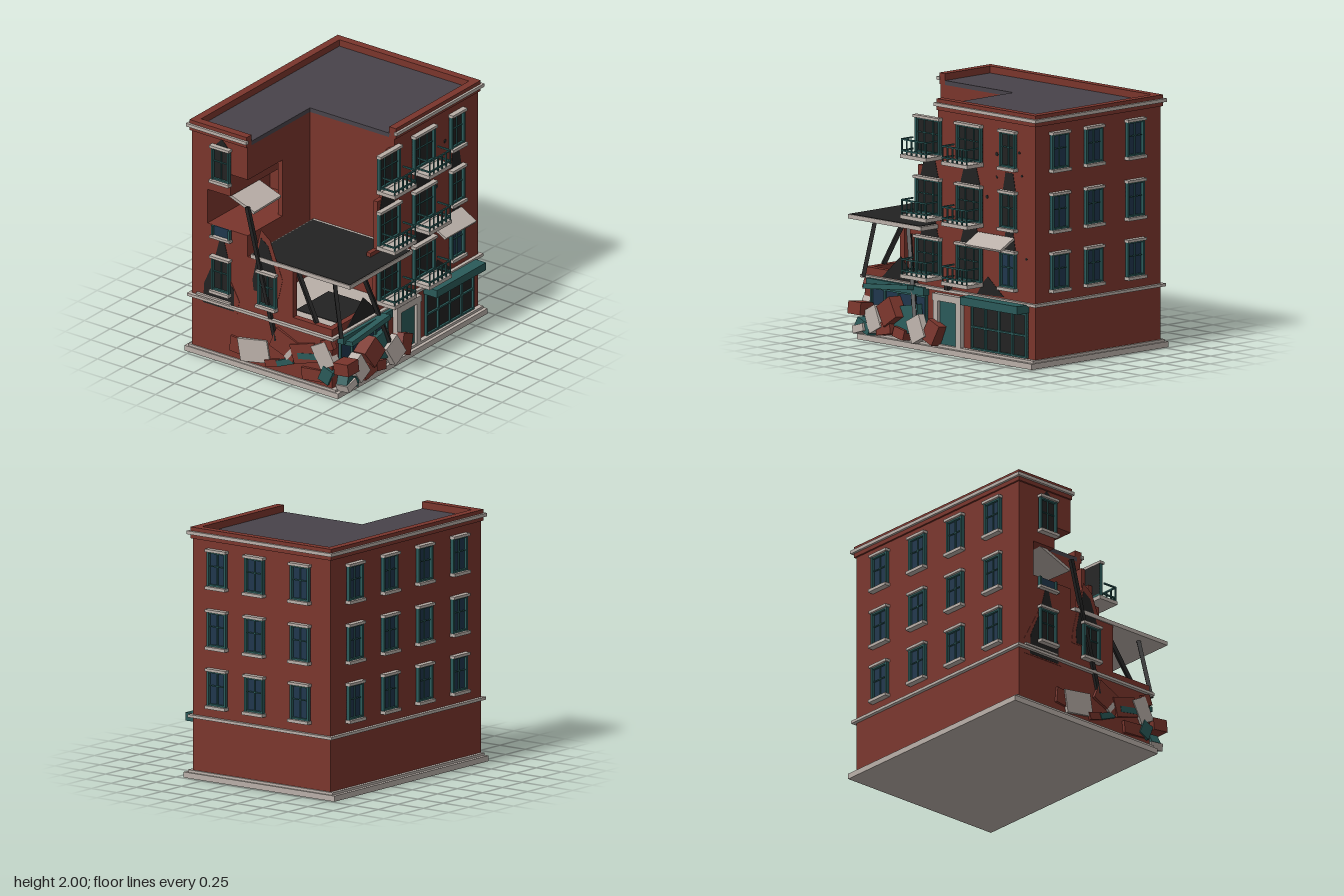
import * as THREE from 'three';

const mat = (name, color, side = THREE.FrontSide) => {
  const m = new THREE.MeshStandardMaterial({ color, side });
  m.name = name;
  return m;
};

export function createModel() {
  const root = new THREE.Group();
  root.name = 'ruinedBuilding';
  const brick = mat('brick', 0x7a352c), stone = mat('stone', 0xb9afa8), roofing = mat('roofing', 0x48434a);
  const teal = mat('teal', 0x2a5a59), glass = mat('glass', 0x1f364c), black = mat('charred', 0x222222, THREE.DoubleSide);

  // Box given by its limits
  const box = (name, m, x0, x1, y0, y1, z0, z1, parent = root) => {
    const b = new THREE.Mesh(new THREE.BoxGeometry(x1 - x0, y1 - y0, z1 - z0), m);
    b.position.set((x0 + x1) / 2, (y0 + y1) / 2, (z0 + z1) / 2);
    b.name = name;
    parent.add(b);
    return b;
  };
  // Box given by centre, size and rotation
  const chunk = (name, m, p, s, r) => {
    const b = new THREE.Mesh(new THREE.BoxGeometry(...s), m);
    b.position.set(...p);
    b.rotation.set(...r);
    b.name = name;
    root.add(b);
  };
  // Thin plate on the front wall, or on the right wall with points as (z, y)
  const plate = (name, m, pts, right = false, lift = 0.003) => {
    const shape = new THREE.Shape(pts.map(([a, y]) => new THREE.Vector2(right ? -a : a, y)));
    const p = new THREE.Mesh(new THREE.ExtrudeGeometry(shape, { depth: lift, bevelEnabled: false }), m);
    p.name = name;
    if (right) { p.rotation.y = Math.PI / 2; p.position.x = 0.62; } else p.position.z = 0.95;
    root.add(p);
  };

  // Foundation
  box('foundation', stone, -0.8, 0.69, 0, 0.045, -0.98, 0.97);
  box('plinth', stone, -0.77, 0.66, 0.045, 0.065, -0.965, 0.96);

  // Brick body: rear block, left wing, collapsed front right corner
  box('rearBlock', brick, -0.74, 0.62, 0.06, 1.91, -0.95, 0.14);
  box('leftWingLower', brick, -0.74, -0.2, 0.06, 1.15, 0.14, 0.95);
  box('leftWingUpper', brick, -0.74, -0.2, 1.63, 1.91, 0.14, 0.95);
  box('leftWingOuterWall', brick, -0.74, -0.59, 1.15, 1.63, 0.14, 0.95);
  box('leftWingBrokenWall', brick, -0.59, -0.37, 1.44, 1.63, 0.14, 0.95);
  box('leftWingInnerWall', brick, -0.24, -0.2, 1.15, 1.63, 0.14, 0.5);
  box('groundFloorCorner', brick, -0.2, 0.62, 0.06, 0.5, 0.14, 0.95);
  box('frontBrokenWall', brick, -0.2, 0.24, 0.5, 0.97, 0.9, 0.95);
  box('frontLowWall', brick, 0.24, 0.62, 0.5, 0.57, 0.9, 0.95);
  box('sideLowWall', brick, 0.57, 0.62, 0.5, 0.57, 0.45, 0.9);
  [[0.5, 0.89, 0.38], [0.89, 1.04, 0.45], [1.04, 1.45, 0.36], [1.45, 1.66, 0.28], [1.66, 1.83, 0.2]]
    .forEach(([y0, y1, z]) => box('sideBrokenWall', brick, 0.58, 0.62, y0, y1, 0.14, z));

  // Floors inside the collapsed corner
  box('firstFloor', stone, -0.2, 0.57, 0.5, 0.507, 0.14, 0.9);
  box('firstFloorBurn', black, 0.1, 0.5, 0.507, 0.512, 0.3, 0.72);
  box('secondFloor', stone, -0.165, 0.8, 0.97, 1.003, 0.14, 0.96);
  box('secondFloorBurn', black, -0.153, 0.793, 1.003, 1.007, 0.165, 0.95);

  // Roof, parapet and cornices
  box('roofRear', roofing, -0.7, 0.59, 1.91, 1.945, -0.9, 0.14);
  box('roofWing', roofing, -0.7, -0.2, 1.91, 1.945, 0.14, 0.9);
  const ring = (name, m, o, w, y0, y1, gapX, gapZ) => {
    const x0 = -0.74 - o, x1 = 0.62 + o, z0 = -0.95 - o, z1 = 0.95 + o;
    box(name, m, x0, x0 + w, y0, y1, z0, z1);
    box(name, m, x0 + w, x1 - w, y0, y1, z0, z0 + w);
    box(name, m, x1 - w, x1, y0, y1, z0, gapZ);
    box(name, m, x0 + w, gapX, y0, y1, z1 - w, z1);
  };
  ring('parapet', brick, 0.015, 0.065, 1.91, 2, -0.2, 0.14);
  ring('roofCornice', stone, 0.035, 0.03, 1.943, 1.97, -0.19, 0.15);
  ring('bandCourse', stone, 0.03, 0.035, 0.485, 0.508, 0.65, 0.98);

  // Window facing +z, its sill bottom at the origin
  const windowUnit = (w, pane, balcony, h = 0.32) => {
    const g = new THREE.Group();
    g.name = 'window';
    const a = w / 2 - 0.008;
    box('pane', pane, -a, a, 0.02, h - 0.02, 0, 0.006, g);
    for (const x of [-a, a - 0.018]) box('frameSide', teal, x, x + 0.018, 0.02, h - 0.02, 0, 0.03, g);
    for (const y of [0.025, h - 0.035]) box('frameRail', teal, -a, a, y, y + 0.014, 0, 0.025, g);
    box('glazingBar', teal, -a, a, h * 0.56, h * 0.56 + 0.008, 0, 0.016, g);
    for (const x of w > 0.25 ? [-w / 6, w / 6] : [0]) box('glazingBar', teal, x - 0.004, x + 0.004, 0.03, h - 0.03, 0, 0.016, g);
    box('sill', stone, -w / 2, w / 2, 0, 0.025, 0, 0.05, g);
    box('lintel', stone, -w / 2, w / 2, h - 0.022, h, 0, 0.045, g);
    if (balcony) {
      const b = w / 2 - 0.006;
      box('balconySlab', stone, -w / 2, w / 2, -0.008, 0.022, 0, 0.18, g);
      for (const y of [0.045, 0.135]) {
        box('railFront', teal, -b, b, y, y + 0.012, 0.165, 0.177, g);
        for (const x of [-b, b - 0.012]) box('railSide', teal, x, x + 0.012, y, y + 0.012, 0.05, 0.177, g);
      }
      for (let i = 0; i < 6; i++) {
        const x = -b + i * (2 * b - 0.01) / 5;
        box('baluster', teal, x, x + 0.01, 0.02, 0.14, 0.166, 0.176, g);
      }
    }
    return g;
  };
  const place = (g, x, y, z, turn) => {
    g.position.set(x, y, z);
    g.rotation.y = turn;
    root.add(g);
  };
  [0.58, 1.05, 1.53].forEach((y, floor) => {
    for (const z of [-0.66, -0.22, 0.22, 0.66]) place(windowUnit(0.2, glass), -0.74, y, z, -Math.PI / 2);
    for (const x of [-0.45, 0, 0.37]) place(windowUnit(0.2, glass), x, y, -0.95, Math.PI);
    for (const z of [0.23, -0.225]) place(windowUnit(0.29, black, true), 0.62, y, z, Math.PI / 2);
    place(windowUnit(0.19, floor ? black : glass), 0.62, y, -0.66, Math.PI / 2);
  });
  for (const [x, y] of [[-0.45, 0.58], [0, 0.58], [-0.45, 1.53]]) place(windowUnit(0.19, black), x, y, 0.95, 0);
  box('brokenWindowPane', glass, -0.53, -0.36, 1.07, 1.15, 0.95, 0.956);
  box('brokenWindowSill', stone, -0.545, -0.35, 1.05, 1.07, 0.95, 0.99);
  for (const x of [-0.54, -0.376]) box('brokenWindowFrame', teal, x, x + 0.016, 1.07, 1.15, 0.95, 0.975);

  // Shop fronts and door on the right side
  for (const [z0, z1, pane] of [[-0.88, -0.24, black], [0.24, 0.88, glass]]) {
    box('shopSign', teal, 0.62, z0 < 0 ? 0.75 : 0.68, 0.43, 0.495, z0, z1);
    box('shopPane', pane, 0.62, 0.627, 0.08, 0.43, z0 + 0.01, z1 - 0.01);
    for (const y of [0.07, 0.24, 0.41]) box('shopRail', teal, 0.62, 0.645, y, y + 0.014, z0 + 0.01, z1 - 0.01);
    for (let i = 0; i < 5; i++) {
      const z = z0 + 0.01 + i * (z1 - z0 - 0.034) / 4;
      box('shopMullion', teal, 0.62, 0.645, 0.07, 0.43, z, z + 0.014);
    }
  }
  box('door', teal, 0.62, 0.635, 0.065, 0.41, -0.1, 0.1);
  for (const s of [-1, 1]) box('doorPost', stone, 0.62, 0.66, 0.06, 0.41, s < 0 ? -0.155 : 0.1, s < 0 ? -0.1 : 0.155);
  box('doorHead', stone, 0.62, 0.665, 0.41, 0.465, -0.16, 0.16);
  box('doorLamp', black, 0.62, 0.67, 0.505, 0.55, -0.02, 0.02);

  // Peeled brick with burn marks, and soot above the windows
  plate('peeledBrick', brick, [[-0.69, 0.45], [-0.69, 0.57], [-0.53, 0.87], [-0.45, 0.87], [-0.28, 0.56], [-0.3, 0.45]]);
  plate('frontBurn', black, [[-0.63, 0.46], [-0.62, 0.63], [-0.54, 0.81], [-0.43, 0.78], [-0.33, 0.64], [-0.33, 0.46]], false, 0.005);
  plate('peeledBrick', brick, [[-0.19, 0.69], [-0.18, 0.8], [-0.07, 1.24], [0.02, 1.17], [0.14, 0.86], [0.1, 0.69]]);
  plate('frontBurn', black, [[-0.14, 0.7], [-0.15, 0.79], [-0.07, 1.17], [0, 1.12], [0.08, 0.9], [0.07, 0.7]], false, 0.005);
  plate('soot', black, [[-0.51, 0.9], [-0.39, 0.9], [-0.43, 1.05], [-0.47, 1.05]]);
  plate('soot', black, [[-0.51, 1.85], [-0.39, 1.85], [-0.45, 1.91]]);
  for (const y of [0.9, 1.37]) for (const [z, w] of [[0.23, 0.1], [-0.225, 0.11], [-0.66, 0.07]])
    plate('soot', black, [[z + w, y], [z - w, y], [z - w * 0.6, y + 0.14], [z + w * 0.6, y + 0.14]], true);
  plate('sideBurn', black, [[0.76, 0.51], [0.55, 0.7], [0.35, 0.51]], true);
  plate('sideBurn', black, [[-0.3, 0.51], [-0.38, 0.62], [-0.42, 0.66], [-0.6, 0.52]], true);
  for (const [z, y, r] of [[-0.52, 1.64, 0.017], [-0.41, 1.29, 0.016], [-0.77, 1.68, 0.013], [-0.8, 1.5, 0.011], [-0.85, 0.85, 0.012], [-0.52, 1.46, 0.011]])
    plate('shotHole', black, [0, 1, 2, 3, 4, 5].map(i => [z + r * Math.cos(i * Math.PI / 3), y + r * Math.sin(i * Math.PI / 3)]), true);

  // Charred beams
  const beam = (a, b) => {
    const p = new THREE.Vector3(...a), q = new THREE.Vector3(...b);
    const m = new THREE.Mesh(new THREE.BoxGeometry(0.032, p.distanceTo(q), 0.03), black);
    m.position.copy(p).lerp(q, 0.5);
    m.quaternion.setFromUnitVectors(new THREE.Vector3(0, 1, 0), q.sub(p).normalize());
    m.name = 'charredBeam';
    root.add(m);
  };
  beam([-0.2, 1.4, 0.955], [0.08, 0.33, 0.96]);
  beam([0.24, 0.93, 0.88], [0.45, 0.57, 0.92]);
  beam([0.56, 0.97, 0.53], [0.7, 0.25, 0.31]);
  beam([0.58, 0.97, 0.87], [0.68, 0.5, 0.91]);

  // Fallen slabs
  chunk('fallenSlab', stone, [-0.33, 1.4, 0.735], [0.34, 0.025, 0.35], [0.03, 0, -0.36]);
  chunk('fallenSlab', stone, [0.7, 0.955, -0.52], [0.17, 0.02, 0.4], [0, 0, -0.5]);
  chunk('fallenSlab', stone, [-0.52, 0.525, 0.96], [0.33, 0.018, 0.03], [0, 0, 0]);

  // Rubble along the front and the right side
  [
    [brick, -0.25, 0.18, 0.945, 0.22, 0.13, 0.04, -0.1], [stone, -0.13, 0.185, 0.955, 0.28, 0.19, 0.03, 0.17],
    [brick, 0.17, 0.32, 0.95, 0.24, 0.18, 0.04, -0.4], [brick, 0.36, 0.3, 0.95, 0.24, 0.16, 0.04, 0.3],
    [teal, 0.17, 0.17, 0.955, 0.16, 0.05, 0.03, 0.4], [stone, 0.21, 0.25, 0.96, 0.1, 0.04, 0.02, 0.9],
    [brick, 0.05, 0.13, 0.95, 0.14, 0.06, 0.04, 0.3], [teal, 0.42, 0.29, 0.955, 0.24, 0.05, 0.03, 0.2],
    [stone, 0.54, 0.33, 0.93, 0.15, 0.2, 0.08, 0.5], [brick, 0.45, 0.14, 0.95, 0.22, 0.1, 0.04, 0.1],
    [teal, 0.57, 0.17, 0.95, 0.1, 0.13, 0.05, -0.4], [brick, 0.58, 0.43, 0.94, 0.1, 0.09, 0.05, 0.4],
  ].forEach(([m, x, y, z, w, h, d, r]) => chunk('frontRubble', m, [x, y, z], [w, h, d], [0, 0.05, r]));
  [
    [brick, 0.72, 0.26, 0.9, 0.14, 0.1, 0.14, 0], [teal, 0.69, 0.46, 0.6, 0.11, 0.04, 0.5, 0.1],
    [stone, 0.7, 0.19, 0.74, 0.1, 0.19, 0.14, 0.5], [brick, 0.7, 0.27, 0.57, 0.12, 0.18, 0.17, 0.6],
    [teal, 0.67, 0.22, 0.43, 0.05, 0.22, 0.3, 0.2], [stone, 0.71, 0.17, 0.27, 0.06, 0.19, 0.16, 0.5],
    [brick, 0.68, 0.16, 0.12, 0.1, 0.17, 0.13, -0.4], [brick, 0.69, 0.13, 0.62, 0.12, 0.1, 0.16, 0.2],
    [teal, 0.7, 0.12, 0.85, 0.1, 0.08, 0.16, -0.4], [stone, 0.71, 0.1, 0.88, 0.12, 0.06, 0.12, 0.3],
    [brick, 0.69, 0.11, 0.46, 0.1, 0.08, 0.12, -0.2],
  ].forEach(([m, x, y, z, w, h, d, r]) => chunk('sideRubble', m, [x, y, z], [w, h, d], [r, 0, 0.12]));

  return root;
}
